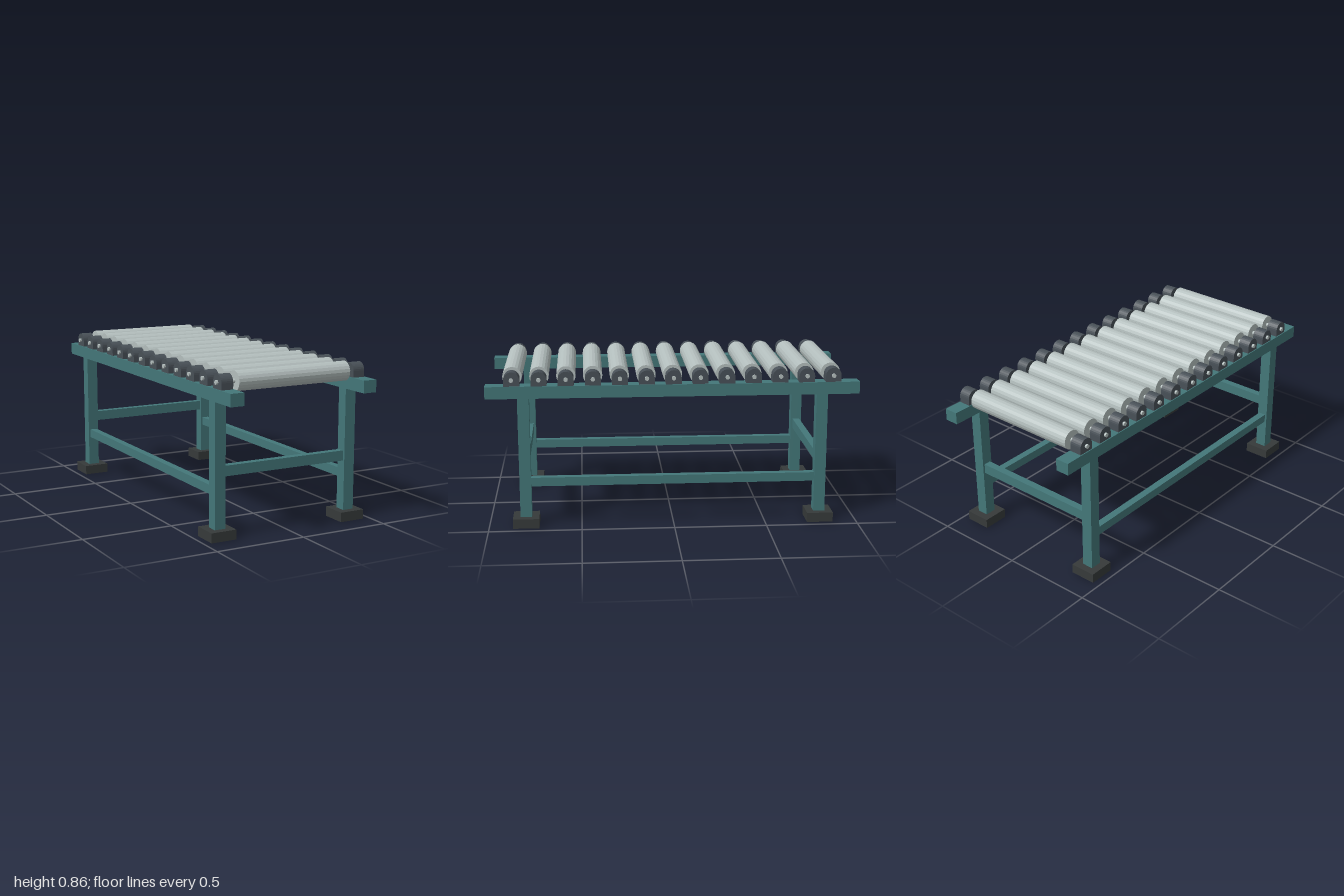
import * as THREE from 'three';

const material = (color) => new THREE.MeshStandardMaterial({ color, flatShading: true });

export function createModel() {
  const model = new THREE.Group();
  const teal = material(0x437779);
  const rubber = material(0x363a3a);
  const housing = material(0x485057);
  const steel = material(0xb4bfbe);

  const add = (name, geometry, mat, x, y, z, parent = model) => {
    const mesh = new THREE.Mesh(geometry, mat);
    mesh.name = name;
    mesh.position.set(x, y, z);
    parent.add(mesh);
    return mesh;
  };
  const box = (name, w, h, d, mat, x, y, z) =>
    add(name, new THREE.BoxGeometry(w, h, d), mat, x, y, z);

  // Frame: top rails, legs with feet, and stretchers
  for (const [side, sx] of [['left', 0.39], ['right', -0.39]]) {
    box(side + 'Rail', 0.077, 0.066, 2, teal, sx, 0.743, 0);
    box(side + 'Stretcher', 0.04, 0.048, 1.54, teal, sx, 0.245, 0);
    for (const [end, z] of [['Front', 0.8], ['Back', -0.8]]) {
      box(side + end + 'Leg', 0.062, 0.66, 0.062, teal, sx, 0.381, z);
      box(side + end + 'Foot', 0.142, 0.052, 0.142, rubber, sx, 0.026, z);
    }
  }
  box('frontCrossbar', 0.72, 0.055, 0.04, teal, 0, 0.348, 0.8);
  box('backCrossbar', 0.72, 0.055, 0.04, teal, 0, 0.348, -0.8);

  // Bearing block profile: straight sides under a rounded top
  const arch = new THREE.Shape();
  arch.moveTo(-0.042, -0.035);
  arch.lineTo(0.042, -0.035);
  arch.lineTo(0.042, 0);
  arch.absarc(0, 0, 0.042, 0, Math.PI, false);
  arch.closePath();
  const block = new THREE.ExtrudeGeometry(arch, { depth: 0.066, bevelEnabled: false, curveSegments: 7 });
  block.translate(0, 0, -0.033).rotateY(Math.PI / 2);

  const drum = new THREE.CylinderGeometry(0.052, 0.052, 0.656, 20).rotateZ(Math.PI / 2);
  const shaft = new THREE.CylinderGeometry(0.0115, 0.0115, 0.868, 10).rotateZ(Math.PI / 2);

  // Thirteen rollers along the rails, each on a pair of bearings
  for (let i = 0; i < 13; i++) {
    const roller = new THREE.Group();
    roller.name = 'roller' + (i + 1);
    roller.position.set(0, 0.81, (i - 6) * 0.143);
    add('drum', drum, steel, 0, 0, 0, roller);
    add('shaft', shaft, steel, 0, 0, 0, roller);
    add('leftBearing', block, housing, 0.39, 0, 0, roller);
    add('rightBearing', block, housing, -0.39, 0, 0, roller);
    model.add(roller);
  }
  return model;
}
